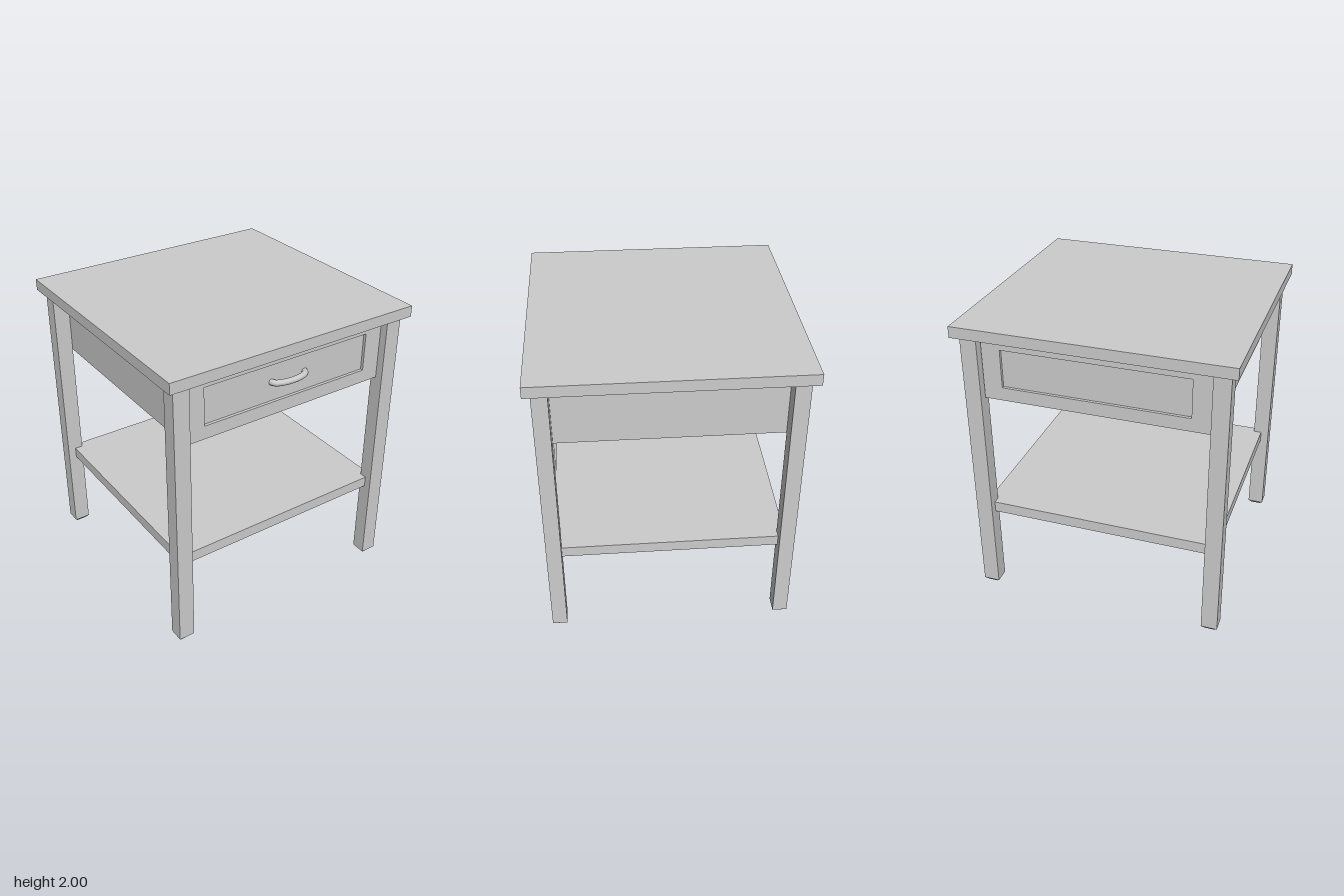
import * as THREE from 'three';

const material = new THREE.MeshStandardMaterial({ color: 0xcccccc });
const flat = new THREE.MeshStandardMaterial({ color: 0xcccccc, flatShading: true });

function add(parent, name, geometry, x, y, z, mat = material) {
  const mesh = new THREE.Mesh(geometry, mat);
  mesh.name = name;
  mesh.position.set(x, y, z);
  parent.add(mesh);
  return mesh;
}

// Slab given by its size and the height of its underside
function slab(parent, name, w, h, d, bottom, x = 0, z = 0) {
  return add(parent, name, new THREE.BoxGeometry(w, h, d), x, bottom + h / 2, z);
}

function rect(shape, x0, y0, x1, y1) {
  return shape.moveTo(x0, y0).lineTo(x1, y0).lineTo(x1, y1).lineTo(x0, y1).closePath();
}

// Framed face with a sunken centre panel, facing +z
function framedFace(name) {
  const group = new THREE.Group();
  group.name = name;
  const outline = rect(new THREE.Shape(), -0.74, 1.49, 0.74, 1.925);
  outline.holes.push(rect(new THREE.Path(), -0.615, 1.58, 0.615, 1.84));
  const frame = new THREE.ExtrudeGeometry(outline, { depth: 0.05, bevelEnabled: false });
  add(group, 'frame', frame, 0, 0, 0.72);
  slab(group, 'sunkenPanel', 1.24, 0.27, 0.03, 1.575, 0, 0.735);
  return group;
}

export function createModel() {
  const table = new THREE.Group();
  table.name = 'sideTable';

  slab(table, 'tableTop', 1.8, 0.075, 1.73, 1.925);
  slab(table, 'shelf', 1.6, 0.075, 1.54, 0.6);
  slab(table, 'drawerCase', 1.49, 0.435, 1.44, 1.49);

  // Front and back faces
  const front = framedFace('drawerFront');
  const back = framedFace('backPanel');
  back.rotation.y = Math.PI;
  table.add(front, back);

  // Bowed handle
  const bow = new THREE.CatmullRomCurve3([
    [-0.13, 0.745], [-0.115, 0.775], [-0.06, 0.797], [0, 0.803],
    [0.06, 0.797], [0.115, 0.775], [0.13, 0.745],
  ].map(([x, z]) => new THREE.Vector3(x, 0, z)));
  add(front, 'handle', new THREE.TubeGeometry(bow, 32, 0.02, 12), 0.01, 1.712, 0);

  // Legs with tapered feet
  const foot = new THREE.CylinderGeometry(Math.SQRT1_2, 0.42, 0.025, 4);
  foot.rotateY(Math.PI / 4);
  foot.scale(0.11, 1, 0.1);
  for (const x of [-0.8, 0.8]) {
    for (const z of [-0.77, 0.77]) {
      const leg = new THREE.Group();
      leg.name = (z > 0 ? 'front' : 'back') + (x > 0 ? 'Left' : 'Right') + 'Leg';
      slab(leg, 'post', 0.11, 1.9, 0.1, 0.025, x, z);
      add(leg, 'foot', foot, x, 0.0125, z, flat);
      table.add(leg);
    }
  }
  return table;
}
